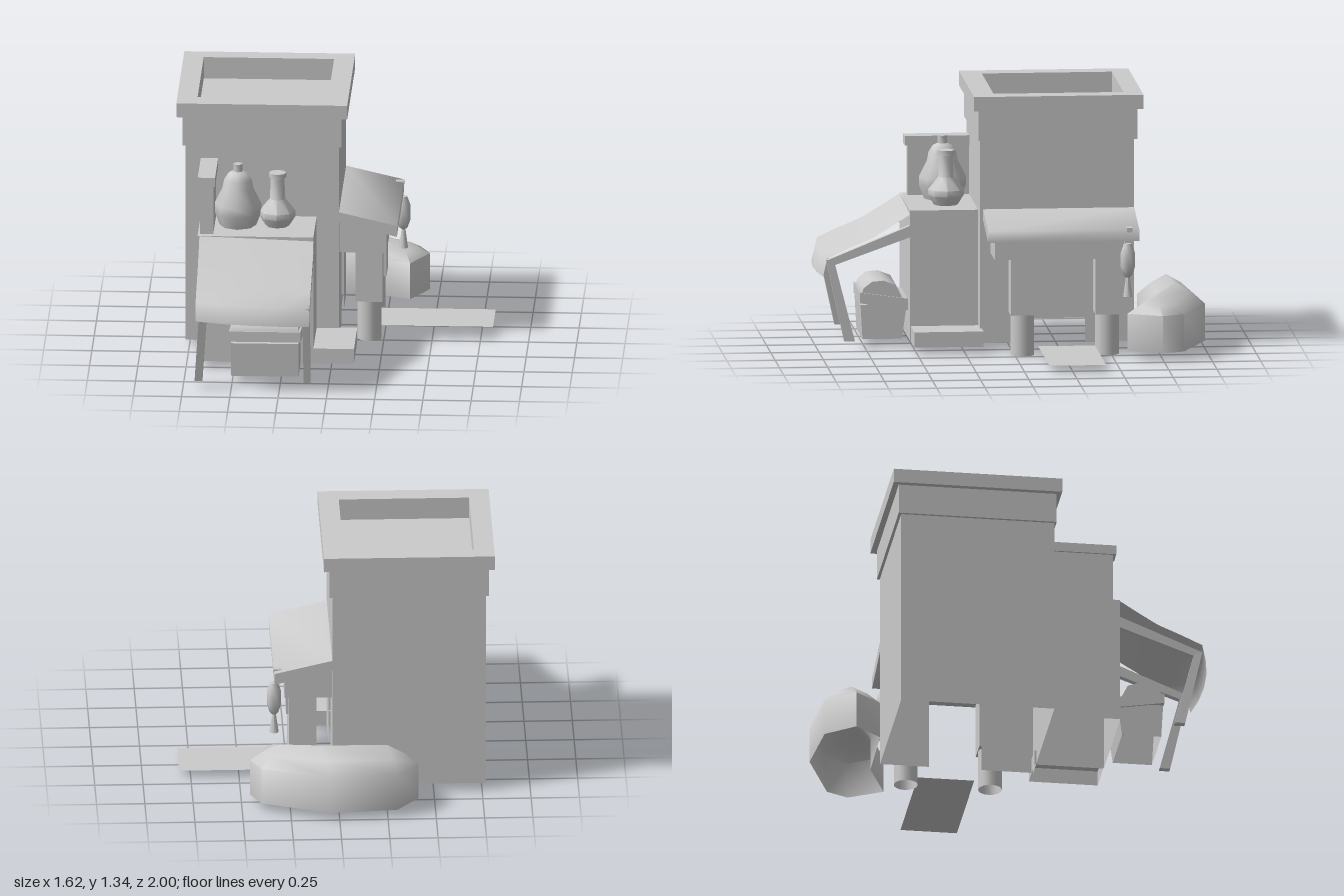
import * as THREE from 'three';
import { toCreasedNormals } from 'three/addons/utils/BufferGeometryUtils.js';

const grey = new THREE.MeshStandardMaterial({ color: 0xcccccc });
const greyThin = new THREE.MeshStandardMaterial({ color: 0xcccccc, side: THREE.DoubleSide });

export function createModel() {
  const model = new THREE.Group();

  const add = (name, geometry, material = grey) => {
    const mesh = new THREE.Mesh(geometry, material);
    mesh.name = name;
    model.add(mesh);
    return mesh;
  };

  // Box given by its limits on each axis
  const box = (name, x0, x1, y0, y1, z0, z1) =>
    add(name, new THREE.BoxGeometry(x1 - x0, y1 - y0, z1 - z0)
      .translate((x0 + x1) / 2, (y0 + y1) / 2, (z0 + z1) / 2));

  // Hollow box without the listed faces (0 = right side, 3 = underside)
  const openBox = (name, missing, ...limits) => {
    const mesh = box(name, ...limits);
    const faces = Array.from(mesh.geometry.index.array);
    mesh.geometry.setIndex(faces.filter((v, i) => !missing.includes(Math.floor(i / 6))));
    mesh.geometry.clearGroups();
    mesh.material = greyThin;
    return mesh;
  };

  const shapeOf = (pts) => new THREE.Shape(pts.map(([a, b]) => new THREE.Vector2(a, b)));

  // Side profile of [z, y] points, extruded from x0 to x1
  const sideProfile = (pts, x0, x1) =>
    new THREE.ExtrudeGeometry(shapeOf(pts.map(([z, y]) => [-z, y])), { depth: x1 - x0, bevelEnabled: false })
      .rotateY(Math.PI / 2).translate(x0, 0, 0);

  // Turned part from [radius, y] points
  const turned = (name, pts, sides, x, z) =>
    add(name, toCreasedNormals(new THREE.LatheGeometry(
      pts.map(([r, y]) => new THREE.Vector2(r, y)), sides), 0.9)).position.set(x, 0, z);

  // Hollow tower, its right wall cut by a doorway
  openBox('tower', [0, 3], -0.77, 0.025, 0.04, 1.1, -0.635, 0.165);
  add('doorwayWall', new THREE.ShapeGeometry(shapeOf([[-0.165, 0.04], [0.105, 0.04], [0.105, 0.44], [0.38, 0.44],
    [0.38, 0.04], [0.635, 0.04], [0.635, 1.1], [-0.165, 1.1]])).rotateY(Math.PI / 2).translate(0.025, 0, 0), greyThin);
  box('towerBand', -0.785, 0.04, 1.1, 1.22, -0.65, 0.175);

  // Frame with a rectangular opening, lying flat
  const frame = (name, x0, x1, z0, z1, y0, y1) => {
    const rect = (a, b, c, d) => [[a, c], [b, c], [b, d], [a, d]];
    const shape = shapeOf(rect(x0, x1, -z1, -z0));
    shape.holes.push(new THREE.Path(rect(-0.71, -0.035, -0.09, 0.585).map(p => new THREE.Vector2(...p))));
    add(name, new THREE.ExtrudeGeometry(shape, { depth: y1 - y0, bevelEnabled: false })
      .rotateX(-Math.PI / 2).translate(0, y0, 0));
  };
  frame('upperBand', -0.785, 0.04, -0.65, 0.175, 1.22, 1.26);
  frame('roofParapet', -0.815, 0.07, -0.68, 0.2, 1.26, 1.335);

  // Front block with its wall and step
  openBox('frontBlock', [3], -0.69, -0.09, 0.04, 0.72, 0.165, 0.52);
  box('terraceWall', -0.68, -0.61, 0.72, 0.98, 0.165, 0.485);
  box('terraceWallCap', -0.69, -0.6, 0.98, 1.03, 0.16, 0.5);
  openBox('step', [3], -0.09, 0.12, 0.035, 0.115, 0.155, 0.515);

  // Pots on the terrace
  turned('largePot', [[0, 0.72], [0.095, 0.72], [0.122, 0.79], [0.122, 0.835], [0.08, 0.92],
    [0.072, 0.965], [0.05, 1.0], [0.024, 1.01], [0.024, 1.05], [0, 1.05]], 8, -0.49, 0.315);
  turned('smallPot', [[0, 0.72], [0.062, 0.72], [0.093, 0.77], [0.093, 0.8], [0.04, 0.865],
    [0.035, 0.98], [0.045, 0.98], [0.045, 1.005], [0, 1.005]], 8, -0.285, 0.315);

  // Front awning cloth, sagging and folded over at its lower edge
  const drape = [[0.52, 0.715], [0.63, 0.645], [0.73, 0.585], [0.85, 0.535], [0.96, 0.485], [0.98, 0.39]];
  const cloth = new THREE.PlaneGeometry(1, 1, 4, drape.length - 1);
  const cp = cloth.attributes.position;
  for (let i = 0; i < cp.count; i++) {
    const row = Math.floor(i / 5);
    const u = cp.getX(i);
    const [z, y] = drape[row];
    const bulge = (1 - 4 * u * u) * 0.03 * row / (drape.length - 1);
    cp.setXYZ(i, -0.385 + u * 0.59, y - u * 0.02, z - 0.01 + bulge);
  }
  cloth.computeVertexNormals();
  add('awningCloth', cloth, greyThin);

  // Awning rails and splayed legs
  for (const [x0, x1, lean] of [[-0.66, -0.62, 0.07], [-0.125, -0.09, 0]]) {
    add('awningRail', sideProfile([[0.52, 0.64], [0.95, 0.465], [0.91, 0.44], [0.52, 0.58]], x0, x1));
    const leg = sideProfile([[0.955, 0.47], [0.91, 0.45], [0.805, 0.04], [0.86, 0.04]], x0, x1);
    const lp = leg.attributes.position;
    for (let i = 0; i < lp.count; i++) lp.setX(i, lp.getX(i) + (lp.getY(i) - 0.46) * lean);
    leg.computeVertexNormals();
    add('awningLeg', leg);
  }

  // Basket with tapered sides, a tilted rim and a rounded filling
  const basket = openBox('basketBody', [3], -0.505, -0.155, 0.04, 0.22, 0.53, 0.77).geometry;
  const bp = basket.attributes.position;
  for (let i = 0; i < bp.count; i++)
    if (bp.getY(i) < 0.1) bp.setZ(i, bp.getZ(i) > 0.6 ? 0.76 : 0.555);
  basket.computeVertexNormals();
  add('basketRim', sideProfile([[0.775, 0.23], [0.775, 0.285], [0.525, 0.25], [0.525, 0.19]], -0.515, -0.145));
  add('basketFilling', toCreasedNormals(sideProfile([[0.765, 0.27], [0.755, 0.305], [0.71, 0.34], [0.65, 0.345],
    [0.585, 0.32], [0.55, 0.25]], -0.505, -0.155), 0.9));

  // Side porch: sloping roof with a soft lip, beam and two posts on round footings
  add('porchRoof', toCreasedNormals(new THREE.ExtrudeGeometry(
    shapeOf([[0.025, 0.74], [0.025, 0.685], [0.325, 0.61], [0.325, 0.67]]),
    { depth: 0.785, bevelEnabled: false }).translate(0, 0, -0.635), 1.45));
  add('porchBeam', new THREE.ExtrudeGeometry(
    shapeOf([[0.025, 0.51], [0.27, 0.51], [0.27, 0.625], [0.025, 0.69]]),
    { depth: 0.69, bevelEnabled: false }).translate(0, 0, -0.58));
  for (const z of [-0.04, -0.48]) {
    box('porchPost', 0.105, 0.245, 0.215, 0.51, z - 0.065, z + 0.065);
    add('postFooting', new THREE.CylinderGeometry(0.062, 0.062, 0.215, 16, 1, true)
      .translate(0.175, 0.1075, z), greyThin);
  }

  // Flat mat leading to the side entrance
  add('mat', new THREE.PlaneGeometry(0.65, 0.295).rotateX(-Math.PI / 2).translate(0.485, 0.04, -0.272), greyThin);

  // Ornament hanging from the porch corner
  box('hook', 0.285, 0.328, 0.655, 0.68, -0.6, -0.57);
  box('hangingCord', 0.305, 0.324, 0.59, 0.66, -0.59, -0.56);
  turned('hangingOrnament', [[0, 0.32], [0.024, 0.32], [0.01, 0.42], [0.022, 0.43], [0.037, 0.475], [0.037, 0.55],
    [0.02, 0.598], [0, 0.6]], 8, 0.325, -0.575);

  // Curved sack behind: plan outline [x, z] drawn in toward a spine [x, z, y] as it rises
  const outline = [[-0.415, -0.82], [-0.3, -0.97], [0.05, -1], [0.4, -0.86],
    [0.455, -0.745], [0.36, -0.57], [0.1, -0.675], [-0.3, -0.68]];
  const left = [-0.25, -0.825, 0.345], mid = [0.08, -0.835, 0.35], right = [0.3, -0.72, 0.31];
  const spine = [left, left, mid, right, right, right, mid, left];
  const rings = [[0, 0], [0, 1], [0.45, 1.55], [1, 2]];
  const n = outline.length;
  const pos = [], idx = [];
  rings.forEach(([t, h], r) => outline.forEach(([x, z], i) => {
    const [sx, sz, top] = spine[i];
    const y = h <= 1 ? 0.04 + 0.195 * h : 0.235 + (top - 0.235) * (h - 1);
    pos.push(x + (sx - x) * t, y, z + (sz - z) * t);
    if (r === 0) return;
    const j = (i + 1) % n, a = (r - 1) * n, b = r * n;
    idx.push(a + i, b + i, b + j, a + i, b + j, a + j);
  }));
  const sack = new THREE.BufferGeometry();
  sack.setAttribute('position', new THREE.Float32BufferAttribute(pos, 3));
  sack.setIndex(idx);
  add('sack', toCreasedNormals(sack, 1.2), greyThin);

  return model;
}
